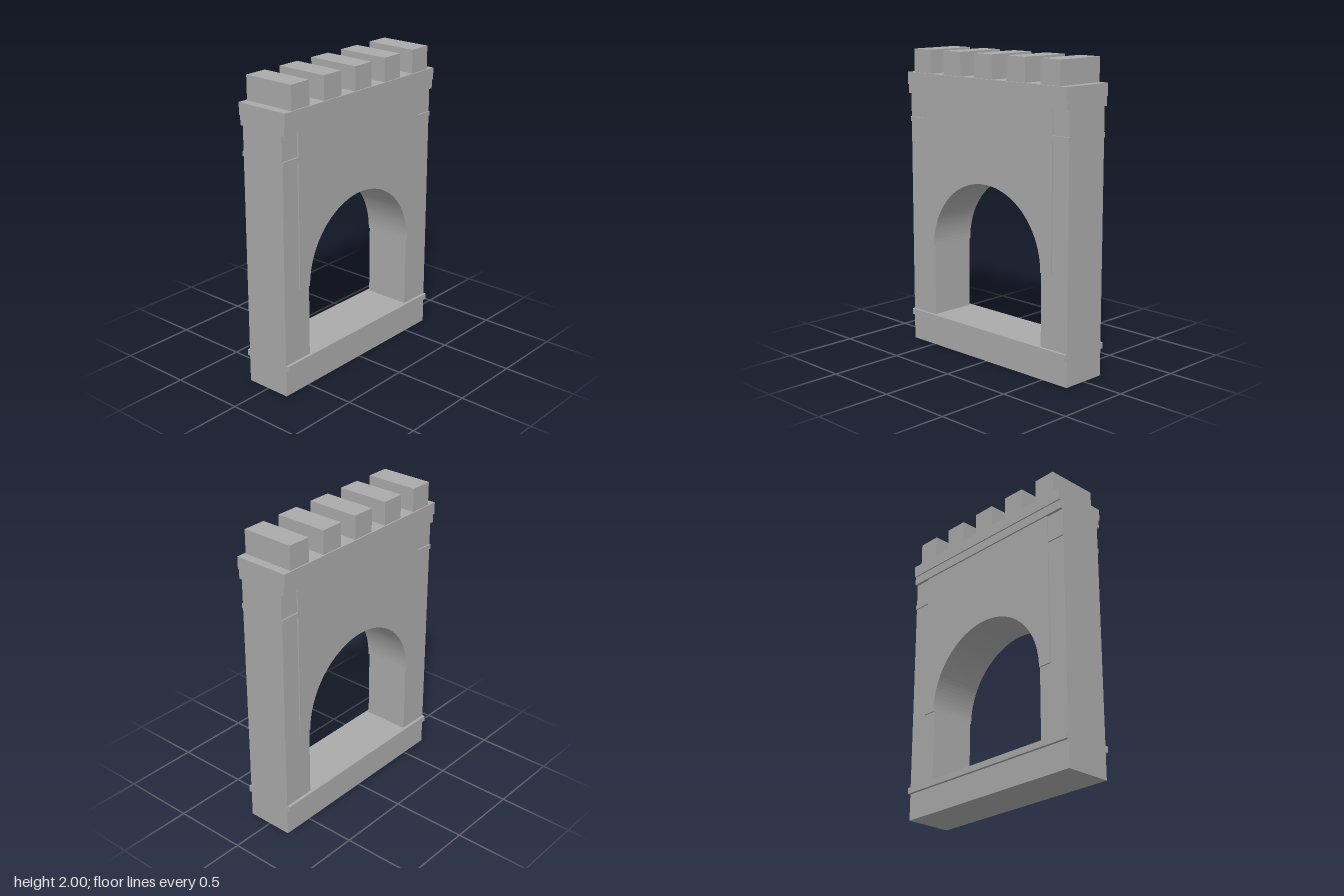
import * as THREE from 'three';

const HALF_W = 0.703, HALF_D = 0.158;   // wall half width and half depth
const ARCH_R = 0.485, SPRING_Y = 0.69;  // arch radius and springing height
const SILL_Y = 0.215, WALL_TOP = 1.705;

export function createModel() {
  const group = new THREE.Group();
  const stone = new THREE.MeshStandardMaterial({ color: 0xaaaaaa });
  stone.name = 'greyStone';

  const add = (name, geometry, x = 0, y = 0, z = 0) => {
    const mesh = new THREE.Mesh(geometry, stone);
    mesh.name = name;
    mesh.position.set(x, y, z);
    group.add(mesh);
  };
  // Box given by its x centre, width, bottom, top, z centre and depth
  const block = (name, x, w, y0, y1, z, d) =>
    add(name, new THREE.BoxGeometry(w, y1 - y0, d), x, (y0 + y1) / 2, z);
  const extrude = (shape, depth) =>
    new THREE.ExtrudeGeometry(shape, { depth, bevelEnabled: false, curveSegments: 32 });

  // Wall with the arched opening
  const wall = new THREE.Shape();
  wall.moveTo(-HALF_W, 0);
  wall.lineTo(HALF_W, 0);
  wall.lineTo(HALF_W, WALL_TOP);
  wall.lineTo(-HALF_W, WALL_TOP);
  wall.closePath();
  const opening = new THREE.Path();
  opening.moveTo(-ARCH_R, SILL_Y);
  opening.lineTo(ARCH_R, SILL_Y);
  opening.absarc(0, SPRING_Y, ARCH_R, 0, Math.PI, false);
  opening.closePath();
  wall.holes.push(opening);
  add('archWall', extrude(wall, HALF_D * 2), 0, 0, -HALF_D);

  // Raised panel around the arch, on both faces
  const panelHalf = 0.575, panelDepth = 0.009;
  const panel = new THREE.Shape();
  panel.moveTo(ARCH_R, SPRING_Y);
  panel.lineTo(panelHalf, SPRING_Y);
  panel.lineTo(panelHalf, WALL_TOP);
  panel.lineTo(-panelHalf, WALL_TOP);
  panel.lineTo(-panelHalf, SPRING_Y);
  panel.lineTo(-ARCH_R, SPRING_Y);
  panel.absarc(0, SPRING_Y, ARCH_R, Math.PI, 0, true);
  const panelGeometry = extrude(panel, panelDepth);

  for (const side of [1, -1]) {
    const face = side > 0 ? 'front' : 'back';
    add(face + 'ArchPanel', panelGeometry, 0, 0, side > 0 ? HALF_D : -HALF_D - panelDepth);

    // Base moulding
    block(face + 'BaseMoulding', 0, HALF_W * 2, 0.175, SILL_Y, side * (HALF_D + 0.01), 0.02);

    // Upper string course, flush with the panel between its ends
    const w = HALF_W - panelHalf;
    for (const s of [1, -1]) {
      block(face + (s > 0 ? 'Left' : 'Right') + 'StringCourse',
        s * (panelHalf + w / 2), w, 1.515, 1.547, side * (HALF_D + panelDepth / 2), panelDepth);
    }
  }

  // Two-step cornice
  block('lowerCornice', 0, HALF_W * 2, WALL_TOP, 1.765, 0, 0.356);
  block('upperCornice', 0, HALF_W * 2, 1.765, 1.845, 0, 0.374);

  // Battlements
  for (let i = -2; i <= 2; i++) block('merlon', i * 0.2825, 0.156, 1.845, 2, 0, 0.356);

  return group;
}
